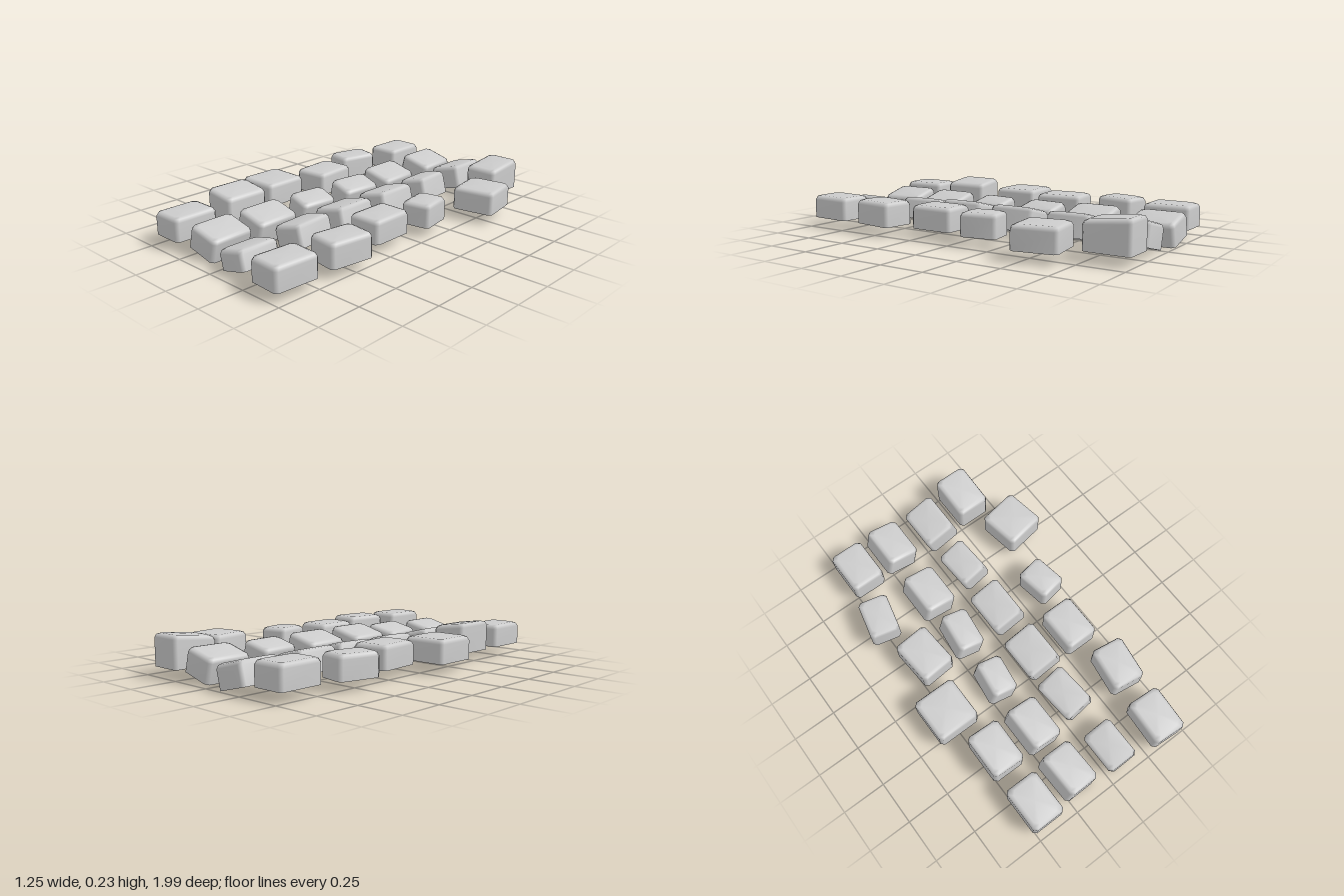
import * as THREE from 'three';

const material = new THREE.MeshStandardMaterial({ color: 0xcccccc, side: THREE.DoubleSide });

// Each stone: x, z, width, depth, yaw, height, top slope along x, top slope along z
const columns = [
  { name: 'leftEdgeStone', roll: 0, y: 0.06, stones: [
    [-0.415, -0.85, 0.195, 0.26, 0],
    [-0.49, -0.515, 0.17, 0.235, -0.23],
    [-0.41, -0.18, 0.205, 0.265, 0.08],
    [-0.5, 0.155, 0.25, 0.26, 0],
    [-0.415, 0.49, 0.195, 0.26, -0.01, 0.16, -0.13, 0],
    [-0.415, 0.83, 0.195, 0.26, 0],
  ] },
  { name: 'leftInnerStone', roll: -0.25, y: 0.03, stones: [
    [-0.17, -0.87, 0.195, 0.255, 0],
    [-0.167, -0.495, 0.195, 0.26, 0],
    [-0.16, -0.18, 0.16, 0.24, -0.12],
    [-0.17, 0.155, 0.155, 0.22, -0.13],
    [-0.165, 0.49, 0.19, 0.26, 0],
    [-0.165, 0.8, 0.195, 0.255, 0.03],
  ] },
  { name: 'rightInnerStone', roll: 0.25, y: 0.038, stones: [
    [0.1, -0.85, 0.195, 0.255, 0, 0.135],
    [0.1, -0.515, 0.17, 0.235, 0.06, 0.135],
    [0.095, -0.18, 0.195, 0.26, 0, 0.135],
    [0.09, 0.155, 0.205, 0.255, 0, 0.135],
    [0.085, 0.455, 0.18, 0.255, 0.085, 0.125],
    [0.1, 0.83, 0.178, 0.24, 0, 0.11],
  ] },
  { name: 'rightEdgeStone', roll: 0, y: 0.06, stones: [
    [0.345, -0.87, 0.195, 0.258, 0, 0.165, 0, -0.1],
    [0.485, -0.56, 0.24, 0.245, 0.165],
    [0.39, -0.155, 0.165, 0.205, 0.165],
    [0.345, 0.16, 0.195, 0.255, 0],
    [0.41, 0.51, 0.19, 0.255, -0.14, 0.135],
    [0.39, 0.86, 0.195, 0.26, -0.06],
  ] },
];

// Hollow block, open below: clipped corners, bevelled top edge, softly smoothed
function stoneGeometry(w, d, h, slopeX, slopeZ) {
  const outline = (inset, cut) => {
    const a = w / 2 - inset, b = d / 2 - inset;
    return [[a, b - cut], [a - cut, b], [-a + cut, b], [-a, b - cut],
      [-a, -b + cut], [-a + cut, -b], [a - cut, -b], [a, -b + cut]];
  };
  const rings = [[0, 0.018, 0], [0, 0.018, h - 0.026], [0.007, 0.02, h - 0.009], [0.024, 0.02, h - 0.002]];
  const pos = [], index = [];
  rings.forEach(([inset, cut, y], r) => {
    for (const [x, z] of outline(inset, cut)) {
      pos.push(x, y + (r ? slopeX * x + slopeZ * z : 0), z);
    }
  });
  pos.push(0, h, 0);
  const n = 8, last = (rings.length - 1) * n;
  for (let i = 0; i < n; i++) {
    const j = (i + 1) % n;
    for (let r = 0; r < rings.length - 1; r++) {
      const a = r * n + i, b = r * n + j;
      index.push(a, a + n, b, b, a + n, b + n);
    }
    index.push(last + i, last + n, last + j);
  }
  const geo = new THREE.BufferGeometry();
  geo.setAttribute('position', new THREE.Float32BufferAttribute(pos, 3));
  geo.setIndex(index);
  geo.computeVertexNormals();
  return geo;
}

export function createModel() {
  const group = new THREE.Group();
  group.name = 'cobblestonePath';
  for (const { name, roll, y, stones } of columns) {
    stones.forEach(([x, z, w, d, yaw, h = 0.13, slopeX = 0, slopeZ = 0], i) => {
      const stone = new THREE.Mesh(stoneGeometry(w, d, h, slopeX, slopeZ), material);
      stone.name = name + (i + 1);
      // Inner stones lean toward the middle; shift the base so the lean keeps them centred
      stone.rotation.set(0, yaw, roll, 'YXZ');
      stone.position.set(x + Math.sin(roll) * h / 2, y, z);
      group.add(stone);
    });
  }
  return group;
}
